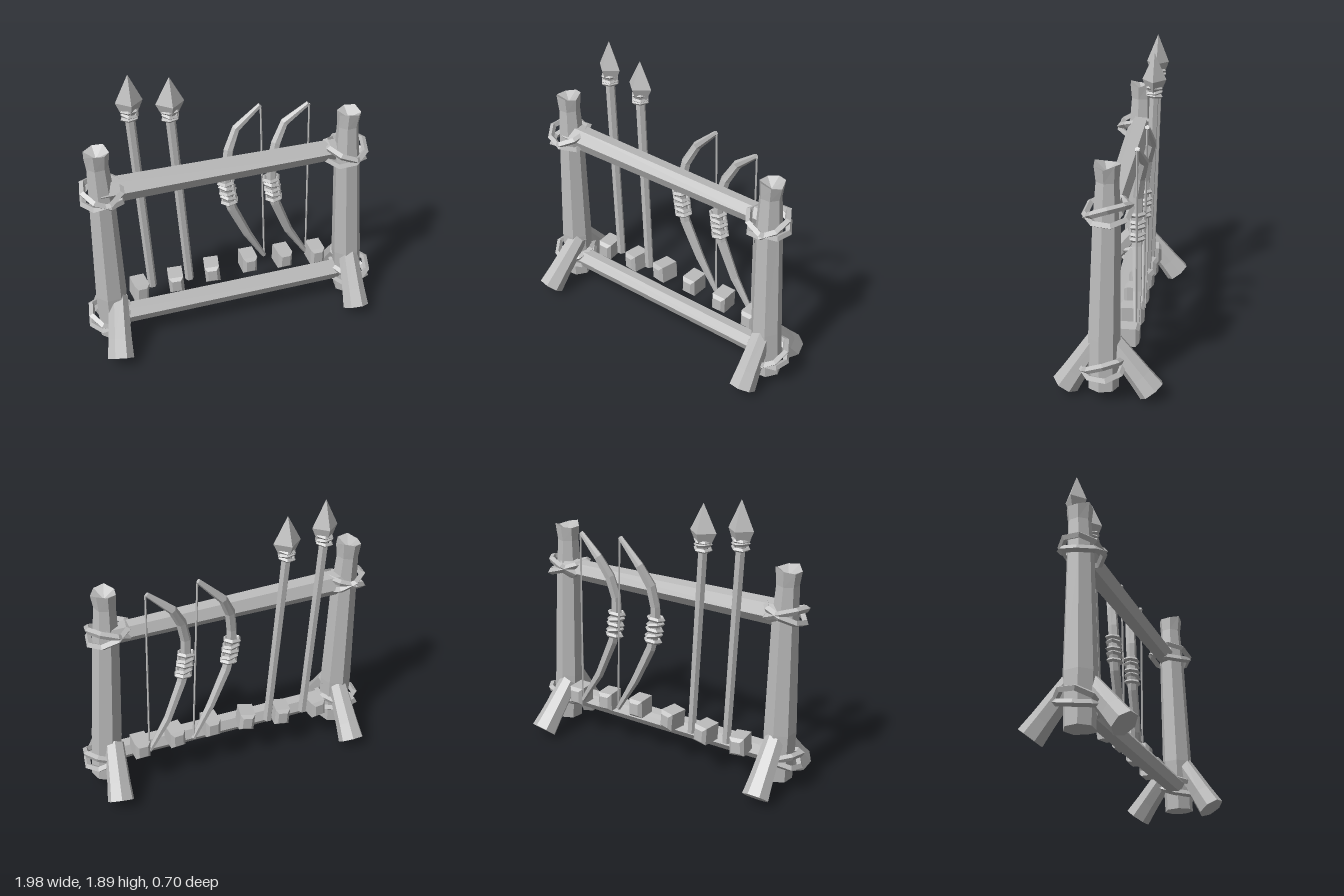
import * as THREE from 'three';

const wood = new THREE.MeshStandardMaterial({ color: 0xbcbcbc, flatShading: true });
wood.name = 'plain grey';

// Faceted stick through points [x, y, z, radius]; notch sinks the end cap, jag makes its rim uneven
function stick(points, sides = 6, { notch = 0, jag = 0, turn = 0, flat = 1 } = {}) {
  const P = points.map(p => new THREE.Vector3(p[0], p[1], p[2]));
  const pos = [], index = [], last = P.length - 1;
  const ref = new THREE.Vector3(0, 0, 1);
  P.forEach((p, j) => {
    const t = P[Math.min(j + 1, last)].clone().sub(P[Math.max(j - 1, 0)]).normalize();
    const u = ref.clone().cross(t).normalize(), v = t.clone().cross(u);
    for (let i = 0; i < sides; i++) {
      const a = turn + i / sides * Math.PI * 2, r = points[j][3];
      const q = p.clone().addScaledVector(u, Math.cos(a) * r).addScaledVector(v, Math.sin(a) * r * flat);
      if (j === last) q.addScaledVector(t, jag * ((i * 2) % 3 - 1));
      pos.push(q.x, q.y, q.z);
    }
  });
  const endCentre = P[last].clone().addScaledVector(P[last].clone().sub(P[last - 1]).normalize(), -notch);
  pos.push(...P[0].toArray(), ...endCentre.toArray());
  const c0 = P.length * sides, c1 = c0 + 1;
  for (let i = 0; i < sides; i++) {
    const k = (i + 1) % sides, e = last * sides;
    for (let j = 0; j < last; j++) {
      const a = j * sides + i, b = j * sides + k;
      index.push(a, b, b + sides, a, b + sides, a + sides);
    }
    index.push(c0, k, i, c1, e + i, e + k);
  }
  const g = new THREE.BufferGeometry();
  g.setAttribute('position', new THREE.Float32BufferAttribute(pos, 3));
  g.setIndex(index);
  const flatGeo = g.toNonIndexed();
  flatGeo.computeVertexNormals();
  return flatGeo;
}

function add(parent, name, geometry) {
  const m = new THREE.Mesh(geometry, wood);
  m.name = name;
  parent.add(m);
  return m;
}

// Faceted rope loop lying flat, then tilted
function loop(parent, name, [x, y, z], rx, rz, thick, tiltX, tiltZ, sides = 8) {
  const g = new THREE.TorusGeometry(1, thick / rx, 4, sides);
  g.rotateX(Math.PI / 2);
  g.scale(rx, rx, rz);
  const m = add(parent, name, g);
  m.position.set(x, y, z);
  m.rotation.set(tiltX, 0.2, tiltZ);
}

function spear(bottom, neck, tip, headRadius) {
  const s = new THREE.Group();
  s.name = 'spear';
  add(s, 'shaft', stick([[...bottom, 0.03], [...neck, 0.032]], 6));
  const [x, y, z] = neck, h = tip - y;
  add(s, 'spearhead', stick([[x, y, z, 0.045], [x, y + h * 0.36, z, headRadius], [x, tip, z, 0.002]], 4, { flat: 0.85 }));
  for (let i = 0; i < 3; i++)
    loop(s, 'binding', [x, y - 0.01 + i * 0.026, z], 0.048, 0.048, 0.013, i % 2 ? 0.12 : -0.1, i % 2 ? -0.1 : 0.1, 6);
  return s;
}

function bow(limb, gripLow, gripHigh, stringTop, stringBottom) {
  const b = new THREE.Group();
  b.name = 'bow';
  add(b, 'bowLimb', stick(limb, 6));
  add(b, 'bowString', stick([[...stringBottom, 0.007], [...stringTop, 0.007]], 4));
  for (let i = 0; i < 5; i++) {
    const p = new THREE.Vector3(...gripLow).lerp(new THREE.Vector3(...gripHigh), i / 4);
    loop(b, 'gripWrap', p.toArray(), 0.05, 0.045, 0.015, 0.08, i % 2 ? -0.14 : 0.1, 6);
  }
  return b;
}

export function createModel() {
  const rack = new THREE.Group();
  rack.name = 'weaponRack';

  // Upright posts with split tops
  const post = { notch: 0.05, jag: 0.012, turn: 0.3 };
  add(rack, 'rightPost', stick([[-0.83, 0.07, 0, 0.095], [-0.835, 0.4, 0, 0.105], [-0.845, 1.15, -0.01, 0.085],
    [-0.855, 1.38, -0.015, 0.072], [-0.858, 1.48, -0.015, 0.083]], 7, post));
  add(rack, 'leftPost', stick([[0.845, 0.07, 0, 0.095], [0.82, 0.4, 0, 0.1], [0.785, 1.15, -0.015, 0.085],
    [0.78, 1.38, -0.02, 0.07], [0.785, 1.48, -0.02, 0.08]], 7, post));

  // Splayed legs, front and back at each end
  const legs = [
    ['rightFrontLeg', [-0.79, 0.38, 0.02], [-0.845, 0.06, 0.275]],
    ['leftFrontLeg', [0.82, 0.41, 0.02], [0.82, 0.06, 0.235]],
    ['rightBackLeg', [-0.83, 0.36, -0.05], [-0.835, 0.055, -0.295]],
    ['leftBackLeg', [0.79, 0.35, -0.05], [0.835, 0.055, -0.295]],
  ];
  for (const [name, top, foot] of legs) {
    const mid = top.map((c, i) => c + (foot[i] - c) * 0.7);
    add(rack, name, stick([[...foot, 0.088], [...mid, 0.078], [...top, 0.064]], 7, { notch: 0.02, jag: 0.01 }));
  }

  // Cross beams
  add(rack, 'upperBeam', stick([[-0.86, 1.187, -0.015, 0.083], [0.8, 1.188, -0.05, 0.066]], 6, { turn: 0.4 }));
  add(rack, 'lowerBeam', stick([[-0.86, 0.21, 0.02, 0.067], [0.84, 0.227, 0, 0.065]], 6, { turn: 0.4 }));

  // Rope lashings: two crossed loops at each joint
  const joints = [[-0.84, 1.19, 0, 0.135], [0.775, 1.19, -0.025, 0.135], [-0.85, 0.22, 0, 0.135], [0.85, 0.22, 0, 0.13]];
  for (const [x, y, z, r] of joints) {
    loop(rack, 'lashing', [x, y, z], r, r, 0.022, 0.25, Math.sign(x) * 0.35);
    loop(rack, 'lashing', [x, y, z], r, r, 0.022, 0.1, -Math.sign(x) * 0.35);
  }

  // Chamfered pegs behind the lower beam
  const pegs = [[-0.62, 0.295, 0.1], [-0.365, 0.305, -0.15], [-0.11, 0.335, -0.2], [0.145, 0.355, 0], [0.395, 0.34, 0.05], [0.635, 0.32, 0]];
  for (const [x, y, yaw] of pegs) {
    const w = 0.03, h = 0.04;
    const s = new THREE.Shape([[-w, -h], [w, -h], [w, h], [-w, h]].map(p => new THREE.Vector2(...p)));
    const g = new THREE.ExtrudeGeometry(s, { depth: 0.12, bevelThickness: 0.02, bevelSize: 0.02, bevelSegments: 1 });
    g.translate(0, 0, -0.06);
    const m = add(rack, 'peg', g);
    m.position.set(x, y, -0.115);
    m.rotation.set(0, yaw, -yaw * 0.5);
  }

  // Spears
  rack.add(spear([-0.525, 0.28, -0.13], [-0.607, 1.61, -0.155], 1.89, 0.086));
  rack.add(spear([-0.265, 0.28, -0.13], [-0.352, 1.56, -0.16], 1.83, 0.092));

  // Bows
  rack.add(bow([[0.285, 0.32, -0.175, 0.016], [0.155, 0.55, -0.16, 0.029], [0.04, 0.8, -0.145, 0.034], [0.005, 0.95, -0.14, 0.035],
    [0.005, 1.1, -0.145, 0.035], [0.025, 1.24, -0.165, 0.034], [0.085, 1.37, -0.2, 0.029], [0.24, 1.525, -0.185, 0.016]],
  [0.025, 0.86, -0.142], [0, 1.015, -0.142], [0.245, 1.51, -0.185], [0.285, 0.34, -0.175]));
  rack.add(bow([[0.585, 0.3, -0.165, 0.016], [0.45, 0.52, -0.155, 0.029], [0.345, 0.78, -0.14, 0.034], [0.312, 0.92, -0.135, 0.035],
    [0.312, 1.1, -0.14, 0.035], [0.345, 1.24, -0.16, 0.034], [0.41, 1.365, -0.19, 0.029], [0.56, 1.495, -0.165, 0.016]],
  [0.332, 0.83, -0.138], [0.31, 0.985, -0.138], [0.567, 1.49, -0.165], [0.588, 0.31, -0.165]));

  return rack;
}
